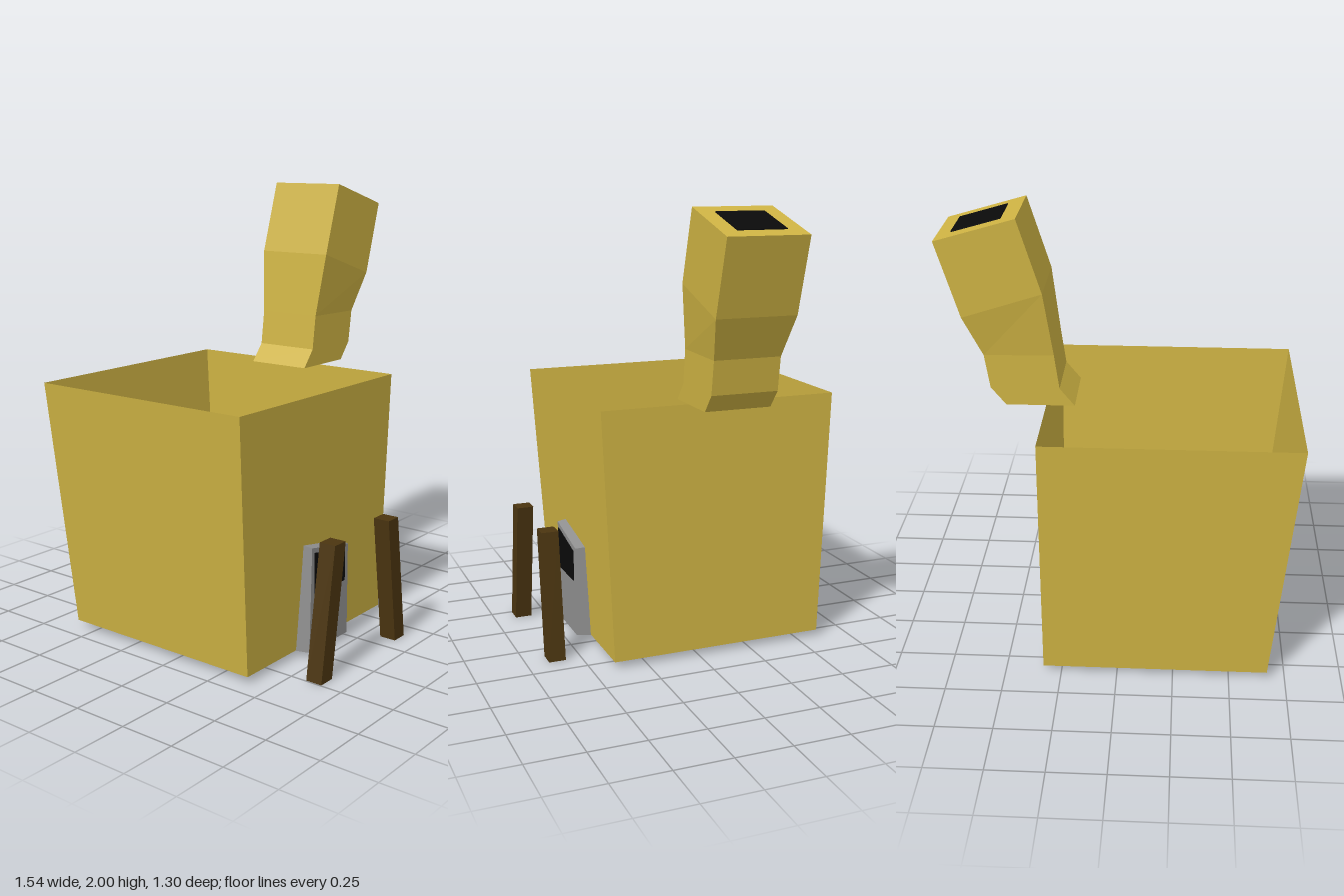
import * as THREE from 'three';

const material = (name, color, side = THREE.DoubleSide) => {
  const m = new THREE.MeshStandardMaterial({ color, side });
  m.name = name;
  return m;
};

// Flat-faced skin through four-cornered rings, each counterclockwise seen from the end
function loft(rings, capStart, capEnd) {
  const pos = [];
  const quad = (a, b, c, d) => pos.push(...a, ...b, ...c, ...a, ...c, ...d);
  for (let r = 0; r < rings.length - 1; r++) {
    const p = rings[r], q = rings[r + 1];
    for (let i = 0; i < 4; i++) {
      const j = (i + 1) % 4;
      quad(p[i], p[j], q[j], q[i]);
    }
  }
  if (capStart) quad(...[...rings[0]].reverse());
  if (capEnd) quad(...rings[rings.length - 1]);
  const g = new THREE.BufferGeometry();
  g.setAttribute('position', new THREE.Float32BufferAttribute(pos, 3));
  g.computeVertexNormals();
  return g;
}

// Rectangle from (x0, y0) to (x1, y1), spanning z0..z1
const ring = (x0, y0, x1, y1, z0, z1) =>
  [[x0, y0, z1], [x1, y1, z1], [x1, y1, z0], [x0, y0, z0]];

// Outline facing +z
const face = (points, z) => points.map(([x, y]) => [x, y, z]);

export function createModel() {
  const group = new THREE.Group();
  const yellow = material('ochre yellow', 0xcdb243);
  const grey = material('door grey', 0x909090);
  const brown = material('dark brown', 0x4b3510);
  const black = material('black', 0x0a0a0a);
  const add = (name, geometry, mat) => {
    const mesh = new THREE.Mesh(geometry, mat);
    mesh.name = name;
    group.add(mesh);
  };

  // Flared walls, open above and below
  add('walls', loft([
    ring(-0.67, 0.03, 0.33, 0.03, -0.6, 0.4),
    ring(-0.775, 1.16, 0.325, 1.16, -0.65, 0.45),
  ]), yellow);

  // Bent chimney, open at its foot
  add('chimney', loft([
    ring(0.2, 1.16, 0.5, 1.16, -0.252, 0.052),
    ring(0.265, 1.24, 0.565, 1.24, -0.252, 0.052),
    ring(0.286, 1.395, 0.588, 1.39, -0.252, 0.052),
    ring(0.325, 1.68, 0.67, 1.57, -0.282, 0.082),
    ring(0.425, 2.0, 0.77, 1.9, -0.282, 0.082),
  ], false, true), yellow);

  // Dark flue opening, just above the sloping cap
  add('chimneyOpening', loft([
    ring(0.495, 1.978, 0.705, 1.917, -0.21, 0.01),
    ring(0.496, 1.984, 0.706, 1.923, -0.21, 0.01),
  ], true, true), black);

  // Door surround, narrowing to the front and open behind
  add('door', loft([
    face([[-0.338, 0.027], [0, 0.027], [-0.01, 0.46], [-0.317, 0.515]], 0.37),
    face([[-0.318, 0.03], [-0.03, 0.03], [-0.03, 0.45], [-0.303, 0.502]], 0.462),
  ], false, true), grey);

  // Slanted door window
  const pane = [[-0.285, 0.287], [-0.057, 0.287], [-0.057, 0.43], [-0.285, 0.477]];
  add('doorWindow', loft([face(pane, 0.461), face(pane, 0.466)], false, true), black);

  // Leaning posts either side of the door
  for (const [name, top, foot] of [['rightPost', -0.406, -0.495], ['leftPost', 0.005, 0.08]]) {
    add(name, loft([
      ring(foot, 0, foot + 0.077, 0, 0.573, 0.65),
      ring(top, 0.58, top + 0.077, 0.58, 0.573, 0.65),
    ], true, true), brown);
  }
  return group;
}
